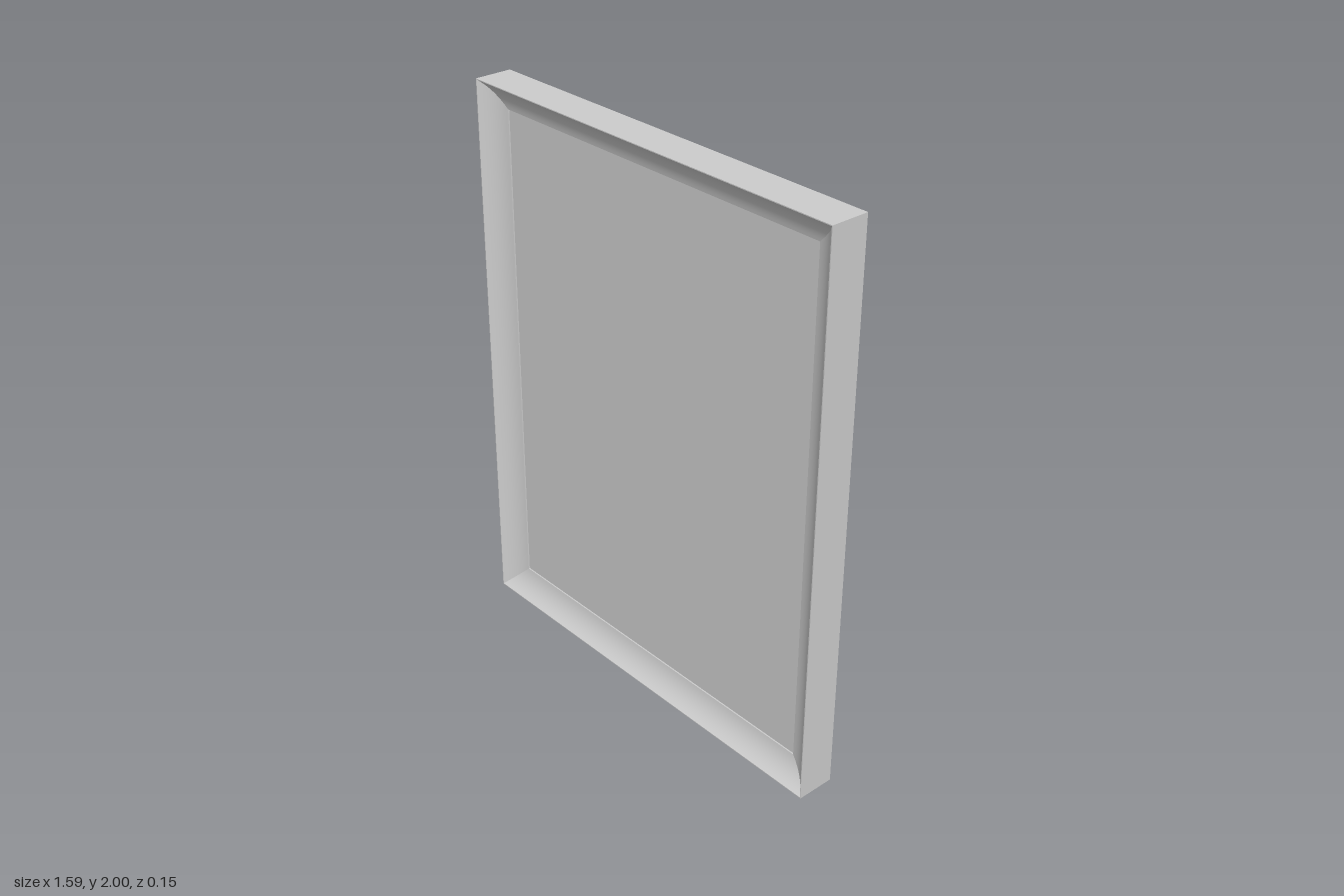
import * as THREE from 'three';
import { toCreasedNormals } from 'three/addons/utils/BufferGeometryUtils.js';

const HALF_W = 0.796, HALF_H = 1;
const BACK = -0.061, FRONT = 0.0765;
const BORDER = 0.093, INNER_Z = 0.021;

// Moulding profile as [inset from the outer edge, z]: wall, thin lip, concave cove, inner step
function mouldingProfile() {
  const cove = new THREE.QuadraticBezierCurve(
    new THREE.Vector2(0.003, FRONT),
    new THREE.Vector2(0.036, 0.032),
    new THREE.Vector2(BORDER, INNER_Z)
  ).getPoints(12).map((p) => [p.x, p.y]);
  return [[0, BACK], [0, FRONT], ...cove, [BORDER, 0]];
}

// One mitred rail lying along x, with its outer wall facing -y
function railGeometry(halfLength, distance) {
  const positions = [], index = [];
  const profile = mouldingProfile();
  profile.forEach(([inset, z], i) => {
    const x = halfLength - inset, y = inset - distance;
    positions.push(-x, y, z, x, y, z);
    if (i < profile.length - 1) {
      const a = i * 2;
      index.push(a, a + 1, a + 3, a, a + 3, a + 2);
    }
  });
  const geometry = new THREE.BufferGeometry();
  geometry.setAttribute('position', new THREE.Float32BufferAttribute(positions, 3));
  geometry.setIndex(index);
  return toCreasedNormals(geometry, 0.5);
}

function roundedRect(hw, hh, r) {
  const s = new THREE.Shape();
  s.absarc(hw - r, hh - r, r, 0, Math.PI / 2);
  s.absarc(r - hw, hh - r, r, Math.PI / 2, Math.PI);
  s.absarc(r - hw, r - hh, r, Math.PI, Math.PI * 1.5);
  s.absarc(hw - r, r - hh, r, Math.PI * 1.5, Math.PI * 2);
  s.closePath();
  return s;
}

// Sawtooth hanger: raised toothed bar, sloped legs and round screwed tabs; rises along +z
function makeHanger(material) {
  const hanger = new THREE.Group();
  const add = (name, geometry, x, y, z) => {
    const mesh = new THREE.Mesh(geometry, material);
    mesh.name = name;
    mesh.position.set(x, y, z);
    hanger.add(mesh);
    return mesh;
  };

  const half = 0.042, teeth = 8, step = (half * 2) / teeth;
  const outline = new THREE.Shape();
  outline.moveTo(half, 0.01);
  outline.lineTo(-half, 0.01);
  outline.lineTo(-half, -0.011);
  for (let i = 0; i < teeth; i++) {
    outline.lineTo(-half + (i + 0.5) * step, -0.005);
    outline.lineTo(-half + (i + 1) * step, -0.011);
  }
  outline.closePath();
  add('hangerBar', new THREE.ExtrudeGeometry(outline, { depth: 0.004, bevelEnabled: false }), 0, 0, 0.0115);

  for (const side of [-1, 1]) {
    const leg = add('hangerLeg', new THREE.BoxGeometry(0.018, 0.021, 0.0035), side * 0.047, -0.0005, 0.0078);
    leg.rotation.y = side * 0.75;
    const tab = add('hangerTab', new THREE.CylinderGeometry(0.0145, 0.0145, 0.004, 20), side * 0.062, 0, 0.002);
    tab.rotation.x = Math.PI / 2;
    const screw = add('hangerScrew', new THREE.SphereGeometry(0.008, 16, 6, 0, Math.PI * 2, 0, Math.PI / 2),
      side * 0.063, 0, 0.004);
    screw.rotation.x = Math.PI / 2;
    screw.scale.y = 0.5;
  }
  return hanger;
}

export function createModel() {
  const model = new THREE.Group();
  model.name = 'pictureFrame';
  const grey = new THREE.MeshStandardMaterial({ color: 0xcccccc });
  grey.name = 'lightGrey';

  // Four mitred rails
  const names = ['bottomRail', 'leftRail', 'topRail', 'rightRail'];
  names.forEach((name, i) => {
    const geometry = i % 2 ? railGeometry(HALF_H, HALF_W) : railGeometry(HALF_W, HALF_H);
    const rail = new THREE.Mesh(geometry, grey);
    rail.name = name;
    rail.rotation.z = (i * Math.PI) / 2;
    rail.position.y = HALF_H;
    model.add(rail);
  });

  // Backing board, just inside the rails
  const backing = new THREE.Mesh(
    new THREE.BoxGeometry(HALF_W * 2 - 0.001, HALF_H * 2 - 0.001, 0.07), grey);
  backing.name = 'backingBoard';
  backing.position.set(0, HALF_H, BACK + 0.035);
  model.add(backing);

  // Picture panel with softly rounded corners
  const panel = new THREE.Mesh(new THREE.ExtrudeGeometry(
    roundedRect(HALF_W - BORDER - 0.001, HALF_H - BORDER - 0.001, 0.01),
    { depth: 0.017, bevelEnabled: false, curveSegments: 6 }), grey);
  panel.name = 'picturePanel';
  panel.position.set(0, HALF_H, 0);
  model.add(panel);

  // Hangers on the back: two along the top edge, two along the left edge
  const hangers = [
    ['topHangerRight', -0.435, 1.955, 0],
    ['topHangerLeft', 0.435, 1.955, 0],
    ['sideHangerUpper', 0.745, 1.643, Math.PI / 2],
    ['sideHangerLower', 0.745, 0.315, Math.PI / 2],
  ];
  for (const [name, x, y, turn] of hangers) {
    const hanger = makeHanger(grey);
    hanger.name = name;
    hanger.position.set(x, y, BACK);
    hanger.rotation.set(0, Math.PI, turn);
    model.add(hanger);
  }
  return model;
}
